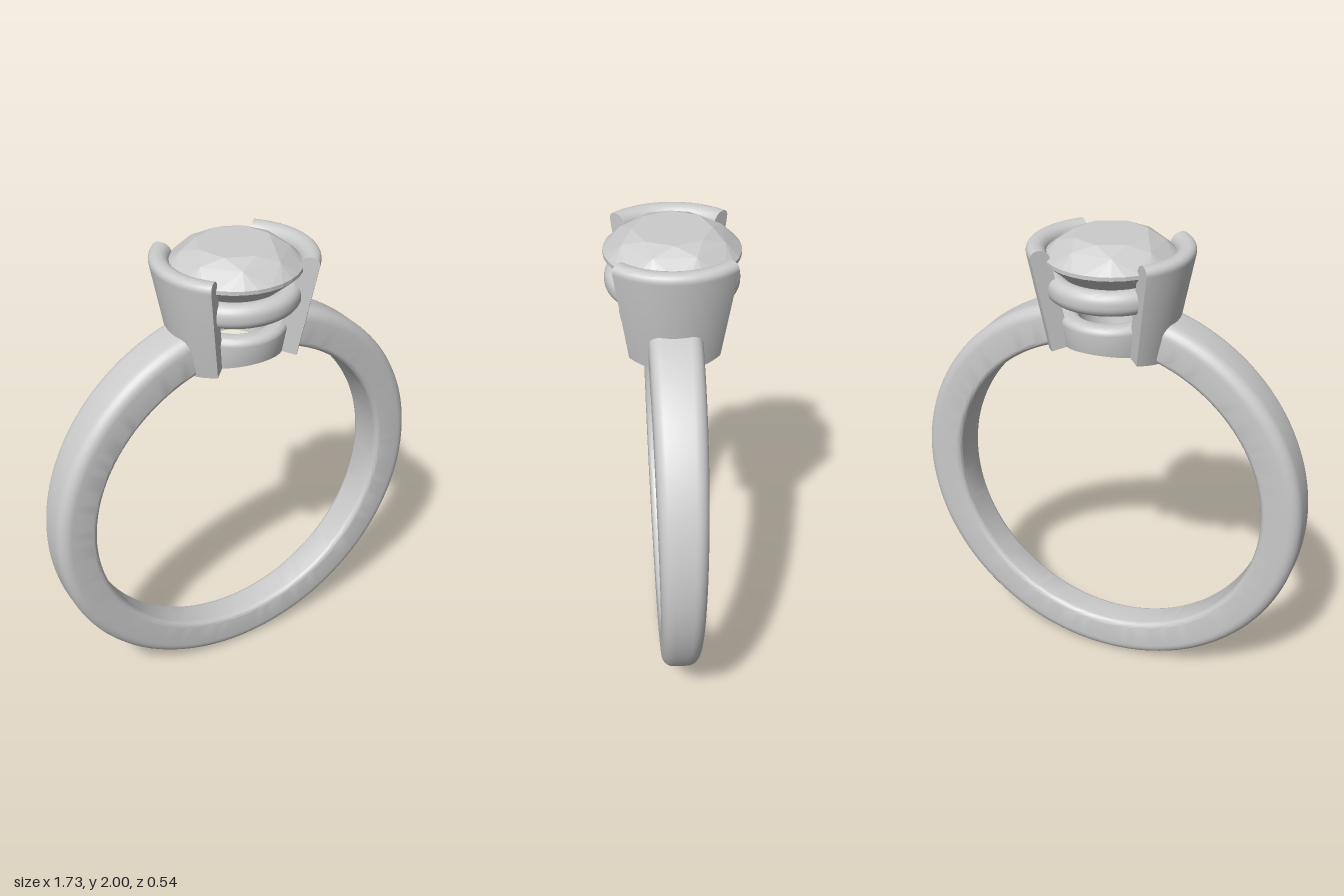
import * as THREE from 'three';
import { toCreasedNormals } from 'three/addons/utils/BufferGeometryUtils.js';
import { ConvexGeometry } from 'three/addons/geometries/ConvexGeometry.js';

const CENTRE_Y = 0.865, R_IN = 0.695, R_OUT = 0.863;

// Height of the finger hole's surface above a given x
const fingerHole = (x) => CENTRE_Y + Math.sqrt(R_IN * R_IN - x * x);

// Counter-clockwise rounded rectangle; c0 / c1 / c2 / c3 are the corner radii
function roundedRect(x0, x1, y0, y1, [c0, c1, c2, c3], steps = 6) {
  const pts = [];
  const corner = (x, y, r, start) => {
    if (r === 0) return pts.push([x, y]);
    for (let i = 0; i <= steps; i++) {
      const a = start + (i / steps) * Math.PI / 2;
      pts.push([x + r * Math.cos(a), y + r * Math.sin(a)]);
    }
  };
  corner(x0 + c0, y0 + c0, c0, Math.PI);
  corner(x1 - c1, y0 + c1, c1, Math.PI * 1.5);
  corner(x1 - c2, y1 - c2, c2, 0);
  corner(x0 + c3, y1 - c3, c3, Math.PI / 2);
  return pts;
}

// Skin a closed cross-section swept through an angle; section(angle) returns [x, y, z] points
function sweep(section, from, to, segments, capped) {
  const pos = [], idx = [];
  let n = 0;
  for (let i = 0; i <= segments; i++) {
    const loop = section(from + (to - from) * i / segments);
    n = loop.length;
    loop.forEach((p) => pos.push(...p));
  }
  for (let i = 0; i < segments; i++) {
    for (let j = 0; j < n; j++) {
      const a = i * n + j, b = i * n + (j + 1) % n;
      idx.push(a, b, a + n, b, b + n, a + n);
    }
  }
  if (capped) {
    const last = segments * n;
    for (let j = 1; j < n - 1; j++) {
      idx.push(0, j + 1, j, last, last + j, last + j + 1);
    }
  }
  const geo = new THREE.BufferGeometry();
  geo.setAttribute('position', new THREE.Float32BufferAttribute(pos, 3));
  geo.setIndex(idx);
  return toCreasedNormals(geo, 0.7);
}

// Band: open at the top, wider near the setting than at the base
function bandGeometry() {
  const gap = 0.31;
  const section = (t) => {
    const w = 0.09 + 0.016 * Math.cos(t);
    return roundedRect(R_IN, R_OUT, -w, w, [0.025, 0.05, 0.05, 0.025])
      .map(([r, z]) => [r * Math.sin(t), CENTRE_Y + r * Math.cos(t), z]);
  };
  return sweep(section, gap, Math.PI * 2 - gap, 128, true);
}

// Flared holder wall: part of a cone with a rounded rim, its foot trimmed by the finger hole
function wallGeometry() {
  const thick = 0.08, foot = 1.52, top = 1.965;
  const profile = roundedRect(0, thick, foot, top, [0, 0, 0.035, 0.035]);
  const section = (a) => profile.map(([d, y]) => {
    const r = 0.255 + 0.087 * (y - foot) / (top - foot) - thick + d;
    const x = r * Math.cos(a);
    return [x, y === foot ? fingerHole(x) : y, r * Math.sin(a)];
  });
  return sweep(section, -0.78, 0.78, 32, true);
}

// Lower collar: tapered ring, also trimmed by the finger hole
function collarGeometry() {
  const foot = 1.52;
  const profile = roundedRect(0.13, 0.213, foot, 1.68, [0, 0, 0.03, 0.03]);
  const section = (a) => profile.map(([d, y]) => {
    const r = d - (y === foot ? 0.018 : 0);
    const x = r * Math.cos(a);
    return [x, y === foot ? fingerHole(x) : y, r * Math.sin(a)];
  });
  return sweep(section, 0, Math.PI * 2, 64, false);
}

// Upper gallery ring under the stone
function galleryGeometry() {
  const profile = roundedRect(0.18, 0.267, 1.745, 1.845, [0.04, 0.042, 0.042, 0.04]);
  const section = (a) => profile.map(([r, y]) => [r * Math.cos(a), y, r * Math.sin(a)]);
  return sweep(section, 0, Math.PI * 2, 64, false);
}

// Round brilliant stone: table, crown, girdle, pavilion and culet
function stoneGeometry() {
  const pts = [new THREE.Vector3(0, 1.677, 0)];
  const ring = (count, r, y, shift = 0) => {
    for (let i = 0; i < count; i++) {
      const a = (i + shift) / count * Math.PI * 2;
      pts.push(new THREE.Vector3(r * Math.cos(a), y, r * Math.sin(a)));
    }
  };
  ring(8, 0.155, 2.0);
  ring(8, 0.215, 1.972, 0.5);
  ring(32, 0.27, 1.918);
  ring(32, 0.27, 1.902);
  ring(8, 0.07, 1.73, 0.5);
  return new ConvexGeometry(pts);
}

export function createModel() {
  const model = new THREE.Group();
  model.name = 'ring';
  const metal = new THREE.MeshStandardMaterial({ color: 0xcccccc });
  const facets = new THREE.MeshStandardMaterial({ color: 0xcccccc, flatShading: true });
  const add = (name, geo, mat = metal) => {
    const mesh = new THREE.Mesh(geo, mat);
    mesh.name = name;
    model.add(mesh);
    return mesh;
  };

  add('band', bandGeometry());
  add('lowerCollar', collarGeometry());
  add('galleryRing', galleryGeometry());
  add('stone', stoneGeometry(), facets);

  // Two facing holder walls
  const wall = wallGeometry();
  add('leftHolderWall', wall);
  add('rightHolderWall', wall).rotation.y = Math.PI;

  return model;
}
